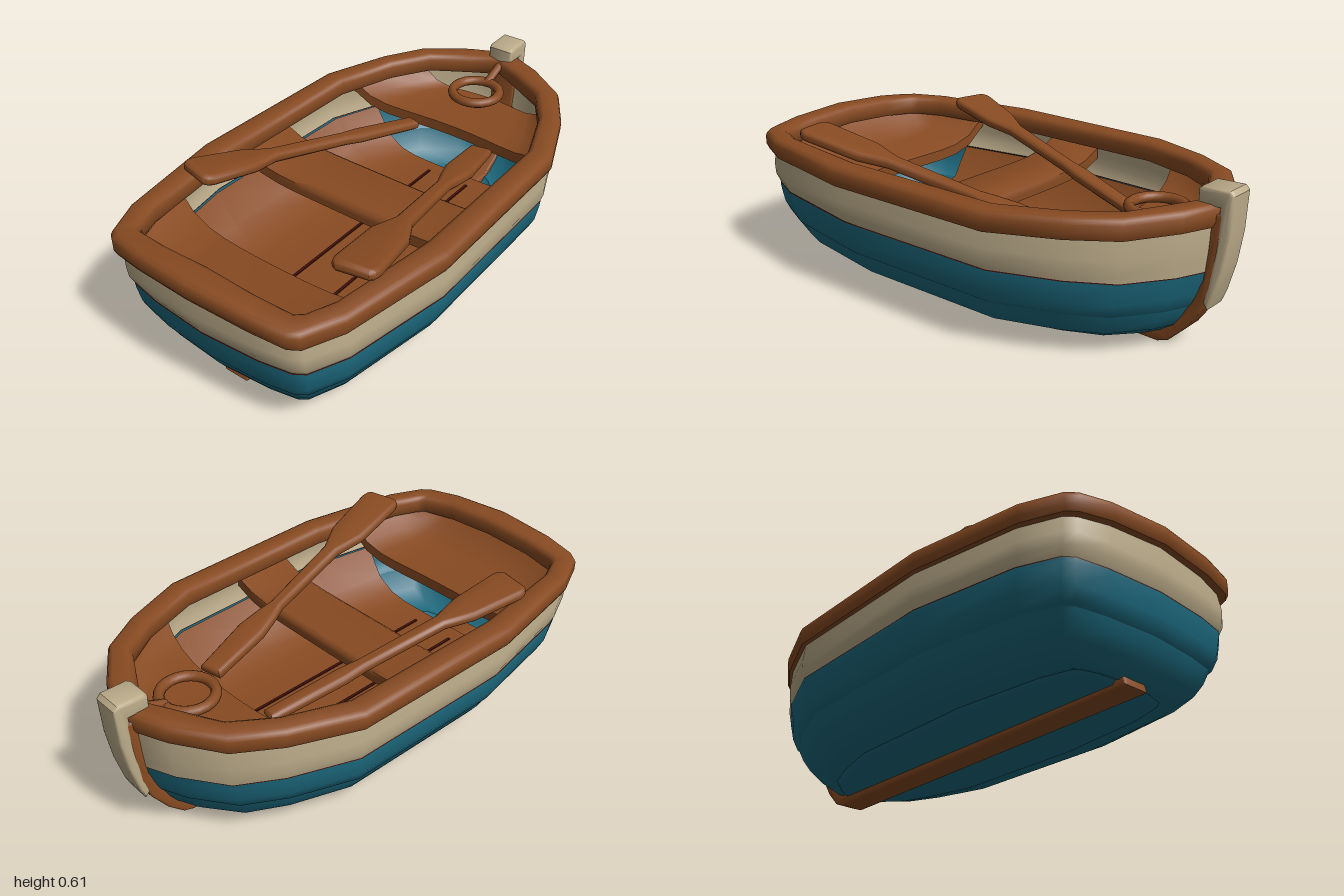
import * as THREE from 'three';
import { toCreasedNormals } from 'three/addons/utils/BufferGeometryUtils.js';

const material = (name, color, side = THREE.FrontSide) => {
  const m = new THREE.MeshStandardMaterial({ color, side });
  m.name = name;
  return m;
};

// Half outline of the rim, stern to bow: outer x, z, inner x, z, underside height
const HALF = [
  [0, 0.997, 0, 0.88, 0.475], [0.25, 0.98, 0.2, 0.88, 0.465], [0.38, 0.957, 0.34, 0.865, 0.452],
  [0.42, 0.93, 0.365, 0.84, 0.45], [0.485, 0.785, 0.405, 0.74, 0.45], [0.56, 0.35, 0.455, 0.33, 0.45],
  [0.543, -0.365, 0.445, -0.35, 0.452], [0.44, -0.62, 0.36, -0.58, 0.46], [0.34, -0.78, 0.26, -0.73, 0.465],
  [0.17, -0.895, 0.11, -0.81, 0.47], [0, -0.965, 0, -0.87, 0.472],
];
const OUTLINE = [...HALF, ...HALF.slice(1, -1).reverse().map(([a, b, c, d, e]) => [-a, b, -c, d, e])];

// Skin a stack of closed rings, each an array of [x, y, z]
function loft(rings, closed = false, crease = 1) {
  const n = rings[0].length, index = [];
  const rows = closed ? rings.length : rings.length - 1;
  for (let r = 0; r < rows; r++) {
    const s = (r + 1) % rings.length;
    for (let i = 0; i < n; i++) {
      const j = (i + 1) % n;
      index.push(r * n + i, r * n + j, s * n + j, r * n + i, s * n + j, s * n + i);
    }
  }
  const g = new THREE.BufferGeometry();
  g.setAttribute('position', new THREE.Float32BufferAttribute(rings.flat(2), 3));
  g.setIndex(index);
  return toCreasedNormals(g, crease);
}

// Hull-shaped ring from [half width, bow z, stern z, y]
const hullRing = ([w, bow, stern, y]) => OUTLINE.map(([x, z]) =>
  [x / 0.56 * w, y, bow + (z + 0.965) / 1.96 * (stern - bow)]);

// Board whose ends sweep up the hull sides to endY; rows run aft to fore as [z, half width, y]
function dishedBoard(rows, endY, curve, thick = 0.045) {
  const ring = ([z, w, y], drop) => {
    const top = Array.from({ length: 13 }, (_, i) => {
      const t = i / 6 - 1;
      return [t * w, y + (endY - y) * t ** 6, z + curve * t * t];
    });
    const under = top.slice().reverse().map(([a, b, c]) => [a, b - thick, c]);
    return [...top.map(([a, b, c]) => [a, b - drop, c]), ...under.map(([a, b, c]) => [a, b + drop, c])];
  };
  const cap = thick / 2;
  return loft([ring(rows[0], cap), ...rows.map(r => ring(r, 0)), ring(rows[rows.length - 1], cap)]);
}

const bevelled = (points, depth, bevel) => new THREE.ExtrudeGeometry(
  new THREE.Shape(points.map(([x, y]) => new THREE.Vector2(x, y))),
  { depth: depth - 2 * bevel, bevelThickness: bevel, bevelSize: bevel, bevelOffset: -bevel, bevelSegments: 3 },
).translate(0, 0, bevel);

// Upright part from its [z, y] side profile, centred on x
const sideProfile = (points, width, bevel) => toCreasedNormals(
  bevelled(points, width, bevel).translate(0, 0, -width / 2).rotateY(-Math.PI / 2), 0.7);

export function createModel() {
  const boat = new THREE.Group();
  boat.name = 'rowingBoat';
  const wood = material('wood', 0x884b22);
  const cream = material('creamPaint', 0xbcac8a);
  const creamShell = material('creamHullPaint', 0xbcac8a, THREE.DoubleSide);
  const teal = material('tealHullPaint', 0x1d6b80, THREE.DoubleSide);
  const dark = material('darkSeam', 0x42110b, THREE.DoubleSide);
  const add = (name, geometry, mat) => {
    const mesh = new THREE.Mesh(geometry, mat);
    mesh.name = name;
    boat.add(mesh);
    return mesh;
  };

  // Hull shell: bottom and two overlapping strakes, then the painted topside
  const hullBands = [
    ['hullBottom', teal, [[0.01, -0.01, 0.01, 0.028], [0.27, -0.74, 0.77, 0.028], [0.285, -0.755, 0.785, 0.042]]],
    ['bilgeStrake', teal, [[0.285, -0.755, 0.785, 0.042], [0.305, -0.765, 0.8, 0.037], [0.36, -0.79, 0.825, 0.048],
      [0.435, -0.838, 0.86, 0.085], [0.467, -0.868, 0.89, 0.13], [0.484, -0.885, 0.905, 0.168]]],
    ['sideStrake', teal, [[0.484, -0.885, 0.905, 0.168], [0.497, -0.895, 0.917, 0.179], [0.52, -0.915, 0.935, 0.225],
      [0.531, -0.932, 0.946, 0.29], [0.531, -0.938, 0.948, 0.308]]],
    ['hullSeam', dark, [[0.531, -0.938, 0.948, 0.308], [0.53, -0.94, 0.947, 0.312]]],
    ['topside', creamShell, [[0.53, -0.94, 0.947, 0.312], [0.542, -0.943, 0.962, 0.345], [0.542, -0.947, 0.967, 0.39],
      [0.532, -0.95, 0.96, 0.45], [0.53, -0.95, 0.96, 0.485]]],
  ];
  for (const [name, mat, rings] of hullBands) add(name, loft(rings.map(hullRing)), mat);

  // Rounded rim: section points are [inset fraction, height]
  const section = [[0, 0.02], [0, 0.054], [0.07, 0.069], [0.22, 0.077], [0.78, 0.077], [0.93, 0.069],
    [1, 0.054], [1, 0.02], [0.9, 0], [0.1, 0]];
  add('rim', loft(section.map(([f, h]) => OUTLINE.map(([x, z, ix, iz, y]) =>
    [x + (ix - x) * f, y + h, z + (iz - z) * f])), true), wood);

  // Keel sweeping up into the bow, with the painted stem post
  add('keel', sideProfile([
    [0.82, 0.012], [-0.75, 0], [-0.79, 0.015], [-0.85, 0.075], [-0.91, 0.165], [-0.945, 0.26], [-0.968, 0.52],
    [-0.92, 0.52], [-0.91, 0.28], [-0.87, 0.18], [-0.81, 0.1], [-0.73, 0.05], [0.81, 0.05],
  ], 0.11, 0.008), wood);
  add('stemPost', sideProfile([
    [-0.87, 0.592], [-0.885, 0.603], [-0.985, 0.606], [-1, 0.59], [-0.995, 0.45], [-0.978, 0.33], [-0.95, 0.22],
    [-0.932, 0.175], [-0.91, 0.2], [-0.945, 0.4], [-0.95, 0.54], [-0.87, 0.54],
  ], 0.11, 0.012), cream);

  // Floor curving up the inside of the hull, with seams between the planks
  add('floor', dishedBoard([[0.64, 0.465, 0.13], [0.35, 0.515, 0.13], [0, 0.51, 0.13], [-0.365, 0.5, 0.13],
    [-0.56, 0.425, 0.13]], 0.312, 0, 0.02), wood);
  for (const x of [-0.285, -0.095, 0.095, 0.285])
    add('plankSeam', new THREE.BoxGeometry(0.011, 0.008, 1.07).translate(x, 0.131, 0.035), dark);

  // Seats
  add('bowSeat', dishedBoard([[-0.52, 0.475, 0.38], [-0.62, 0.435, 0.385], [-0.73, 0.365, 0.385],
    [-0.81, 0.3, 0.385]], 0.47, 0.065), wood);
  add('middleSeat', dishedBoard([[0.185, 0.52, 0.375], [0.165, 0.52, 0.388], [-0.045, 0.52, 0.388],
    [-0.06, 0.52, 0.378]], 0.43, 0), wood);
  add('sternSeat', dishedBoard([[0.935, 0.365, 0.465], [0.87, 0.42, 0.395], [0.79, 0.445, 0.37],
    [0.61, 0.485, 0.362], [0.59, 0.49, 0.355]], 0.465, -0.03), wood);

  // Mooring ring on a short stalk
  add('mooringRing', new THREE.TorusGeometry(0.098, 0.02, 10, 24).rotateX(Math.PI / 2).translate(0, 0.47, -0.69), wood);
  add('ringStalk', new THREE.TubeGeometry(new THREE.LineCurve3(
    new THREE.Vector3(0, 0.475, -0.78), new THREE.Vector3(0, 0.525, -0.9)), 1, 0.018, 8), wood);

  // Oars: profile points are [distance from blade tip, half width]
  const oar = (name, tip, grip, profile) => {
    const a = new THREE.Vector3(...tip), x = new THREE.Vector3(...grip).sub(a).normalize();
    const y = new THREE.Vector3(0, 1, 0).cross(x).normalize();
    const z = x.clone().cross(y);
    const points = [...profile.map(([u, w]) => [u, -w]), ...profile.slice().reverse()];
    const mesh = add(name, toCreasedNormals(bevelled(points, 0.042, 0.018).translate(0, 0, -0.021), 0.7), wood);
    mesh.applyMatrix4(new THREE.Matrix4().makeBasis(x, y, z).setPosition(a));
  };
  oar('rightOar', [-0.4, 0.562, 0.56], [-0.165, 0.345, -0.52],
    [[0, 0.06], [0.015, 0.078], [0.04, 0.086], [0.24, 0.068], [0.35, 0.032], [0.7, 0.028], [0.78, 0.036], [1.09, 0.03]]);
  oar('leftOar', [0.4, 0.577, 0.66], [0.165, 0.345, -0.5],
    [[0, 0.06], [0.015, 0.077], [0.04, 0.084], [0.28, 0.075], [0.4, 0.034], [0.77, 0.028], [0.83, 0.042], [0.93, 0.058],
      [1.18, 0.046]]);

  return boat;
}
